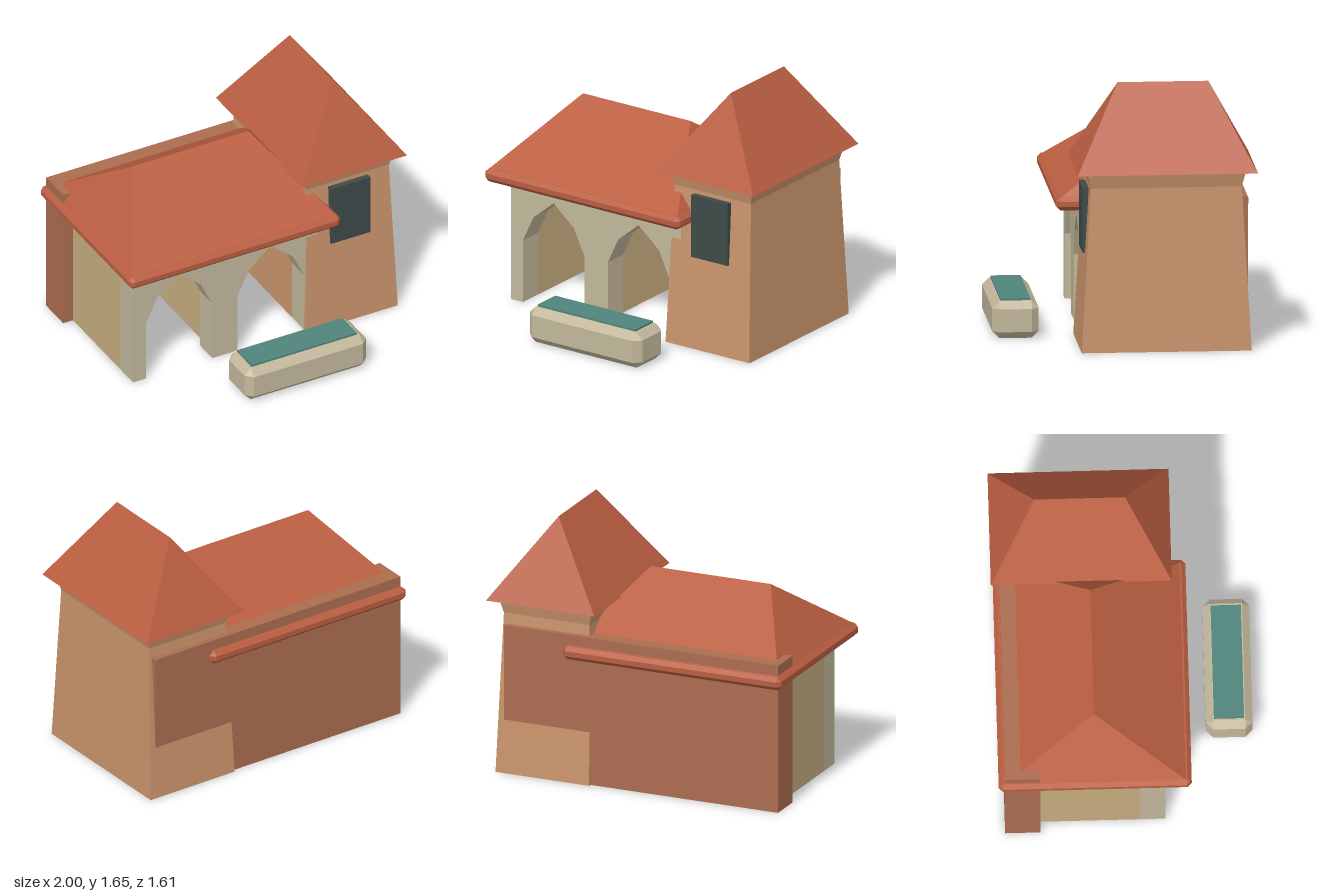
import * as THREE from 'three';
import { ConvexGeometry } from 'three/addons/geometries/ConvexGeometry.js';

const V = (x, y, z) => new THREE.Vector3(x, y, z);

export function createModel() {
  const root = new THREE.Group();
  root.name = 'arcadedBuilding';
  const mat = (name, color) => {
    const m = new THREE.MeshStandardMaterial({ color });
    m.name = name;
    return m;
  };
  const roofTile = mat('roofTile', 0xba5e41);
  const sandPlaster = mat('sandPlaster', 0xc9946c);
  const stone = mat('paleStone', 0xc3b89c);
  const tan = mat('tanPlaster', 0xc6ad80);
  const brick = mat('brick', 0xab6d50);
  const darkWood = mat('darkWood', 0x755741);
  const ochre = mat('ochre', 0xb98e3e);
  const slate = mat('slate', 0x3d4a49);
  const teal = mat('teal', 0x50857b);

  const add = (name, geo, material) => {
    const m = new THREE.Mesh(geo, material);
    m.name = name;
    root.add(m);
    return m;
  };
  // Box given by its extents
  const box = (name, material, x0, x1, y0, y1, z0, z1) => {
    const g = new THREE.BoxGeometry(x1 - x0, y1 - y0, z1 - z0);
    g.translate((x0 + x1) / 2, (y0 + y1) / 2, (z0 + z1) / 2);
    return add(name, g, material);
  };
  // Box with every edge cut at 45 degrees
  const chamferBox = (name, material, x0, x1, y0, y1, z0, z1, c) => {
    const p = [];
    for (const [x, dx] of [[x0, c], [x1, -c]])
      for (const [y, dy] of [[y0, c], [y1, -c]])
        for (const [z, dz] of [[z0, c], [z1, -c]])
          p.push(V(x, y + dy, z + dz), V(x + dx, y, z + dz), V(x + dx, y + dy, z));
    return add(name, new ConvexGeometry(p), material);
  };
  // Rectangular block whose top and bottom rectangles differ: [x0, x1, z0, z1]
  const loft = (name, material, lo, y0, hi, y1) => {
    const p = [];
    for (const [r, y] of [[lo, y0], [hi, y1]])
      for (const x of [r[0], r[1]]) for (const z of [r[2], r[3]]) p.push(V(x, y, z));
    return add(name, new ConvexGeometry(p), material);
  };
  // Hipped roof with a ridge between two points
  const hipRoof = (name, r, y0, a, b) => {
    const p = [a, b];
    for (const x of [r[0], r[1]]) for (const z of [r[2], r[3]]) p.push(V(x, y0, z));
    return add(name, new ConvexGeometry(p), roofTile);
  };

  // Back wall
  box('backWall', brick, -0.97, 0.9, 0, 0.965, -0.75, -0.53);

  // Arcade front with two pointed arches open to the ground
  const bays = [-0.575, 0.075];
  const s = new THREE.Shape();
  s.moveTo(-0.9, 0);
  for (const c of bays) {
    for (const [x, y] of [[-0.235, 0], [-0.235, 0.41], [-0.155, 0.58], [0, 0.71],
      [0.155, 0.58], [0.235, 0.41], [0.235, 0]]) s.lineTo(c + x, y);
  }
  s.lineTo(0.4, 0);
  s.lineTo(0.4, 0.83);
  s.lineTo(-0.9, 0.83);
  s.closePath();
  const facade = new THREE.ExtrudeGeometry(s, { depth: 0.16, bevelEnabled: false });
  facade.translate(0, 0, 0.09);
  add('arcadeFront', facade, stone);

  // Cross walls between the arcade and the back wall
  [[-0.9, -0.81], [-0.3, -0.2], [0.32, 0.4]].forEach(([x0, x1], i) =>
    box('crossWall' + (i + 1), tan, x0, x1, 0, 0.83, -0.53, 0.09));

  // Wooden panel and ochre board at the back of each bay
  bays.forEach((c, i) => {
    box('bayPanel' + (i + 1), darkWood, c - 0.235, c + 0.235, 0.03, 0.63, -0.53, -0.49);
    box('bayBoard' + (i + 1), ochre, c - 0.195, c + 0.19, 0.18, 0.37, -0.49, -0.46);
  });

  // Main roof
  chamferBox('eaves', roofTile, -1, 0.49, 0.81, 0.895, -0.79, 0.41, 0.026);
  hipRoof('mainRoof', [-0.985, 0.475, -0.775, 0.395], 0.88,
    V(-0.665, 1.285, -0.19), V(0.155, 1.285, -0.19));

  // Tower: tapered shaft, flared collar and hipped roof
  const neck = [0.335, 0.92, -0.71, 0.23];
  loft('towerShaft', sandPlaster, [0.31, 0.95, -0.77, 0.29], 0, neck, 1.035);
  loft('towerCollar', sandPlaster, neck, 1.035, [0.31, 0.945, -0.735, 0.255], 1.135);
  hipRoof('towerRoof', [0.26, 1, -0.805, 0.32], 1.13, V(0.63, 1.65, -0.525), V(0.63, 1.65, 0.04));
  box('towerWindow', slate, 0.49, 0.77, 0.6, 1.01, 0.2, 0.27);

  // Water trough in front
  chamferBox('troughBasin', stone, -0.39, 0.47, 0, 0.235, 0.515, 0.805, 0.045);
  box('troughWater', teal, -0.335, 0.41, 0.22, 0.248, 0.565, 0.753);

  return root;
}
